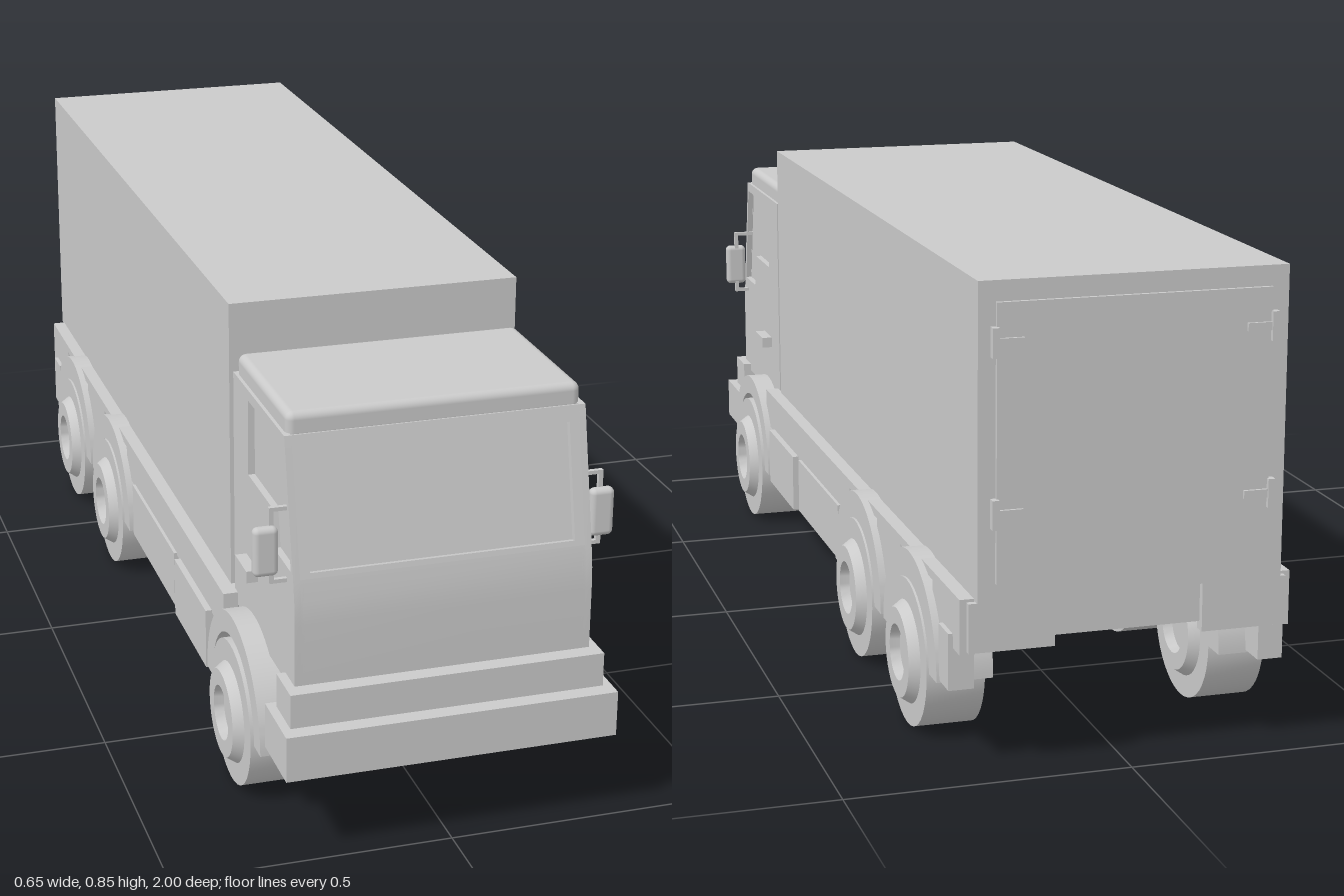
import * as THREE from 'three';
import { toCreasedNormals } from 'three/addons/utils/BufferGeometryUtils.js';
import { RoundedBoxGeometry } from 'three/addons/geometries/RoundedBoxGeometry.js';

export function createModel() {
  const truck = new THREE.Group();
  truck.name = 'boxTruck';
  const grey = new THREE.MeshStandardMaterial({ color: 0xcacaca });
  grey.name = 'bodyGrey';

  const add = (name, geometry, parent = truck) => {
    const mesh = new THREE.Mesh(geometry, grey);
    mesh.name = name;
    parent.add(mesh);
    return mesh;
  };
  // Box given by its limits on each axis
  const box = (name, x0, x1, y0, y1, z0, z1, parent) => {
    const g = new THREE.BoxGeometry(x1 - x0, y1 - y0, z1 - z0);
    g.translate((x0 + x1) / 2, (y0 + y1) / 2, (z0 + z1) / 2);
    return add(name, g, parent);
  };
  const pts = (list) => list.map(([a, b]) => new THREE.Vector2(a, b));
  // Extrude a (z, y) outline sideways between x0 and x1
  const sideways = (shape, x0, x1) => {
    const g = new THREE.ExtrudeGeometry(shape, { depth: x1 - x0, bevelEnabled: false, curveSegments: 28 });
    g.rotateY(-Math.PI / 2);
    g.translate(x1, 0, 0);
    return toCreasedNormals(g, 0.4);
  };

  // Cargo body, whose underside is the floor
  box('cargoBox', -0.267, 0.267, 0.308, 0.845, -0.985, 0.54);
  box('rearDoor', -0.237, 0.237, 0.34, 0.81, -0.992, -0.984);
  for (const s of [-1, 1]) {
    for (const y of [0.46, 0.745]) {
      box('doorHinge', s * 0.218 - 0.026, s * 0.218 + 0.026, y - 0.007, y + 0.007, -0.997, -0.984);
      box('hingePlate', s * 0.24 - 0.006, s * 0.24 + 0.006, y - 0.025, y + 0.025, -1, -0.984);
    }
  }

  // Cab: hollow shell open below, side skins with window openings, windscreen frame, roof
  const cab = new THREE.Group();
  cab.name = 'cab';
  truck.add(cab);
  const nose = [[0.94, 0.285], [0.94, 0.41], [0.938, 0.45], [0.931, 0.49]];
  const shell = new THREE.Shape(pts([
    ...nose, [0.919, 0.49], [0.866, 0.727], [0.56, 0.727], [0.56, 0.3],
    [0.572, 0.3], [0.572, 0.712], [0.857, 0.712], [0.909, 0.48], [0.925, 0.41], [0.925, 0.285],
  ]));
  add('cabShell', sideways(shell, -0.25, 0.25), cab);
  const outline = [[0.56, 0.285], ...nose, [0.878, 0.727], [0.56, 0.727]];
  const skin = new THREE.Shape(pts(outline));
  skin.holes.push(new THREE.Path(pts([
    [0.655, 0.57], [0.655, 0.708], [0.872, 0.708], [0.917, 0.5], [0.815, 0.5], [0.8, 0.57],
  ])));
  const lining = new THREE.Shape(pts([[0.56, 0.285], ...nose, [0.919, 0.49], [0.866, 0.727], [0.56, 0.727]]));

  const frame = new THREE.Shape(pts([[-0.254, 0], [0.254, 0], [0.254, 0.243], [-0.254, 0.243]]));
  frame.holes.push(new THREE.Path(pts([[-0.235, 0.01], [-0.235, 0.215], [0.235, 0.215], [0.235, 0.01]])));
  const frameGeo = new THREE.ExtrudeGeometry(frame, { depth: 0.012, bevelEnabled: false });
  frameGeo.translate(0, 0, -0.012);
  const windscreen = add('windscreenFrame', frameGeo, cab);
  windscreen.position.set(0, 0.49, 0.931);
  windscreen.rotation.x = -0.2205;

  const roof = new RoundedBoxGeometry(0.518, 0.05, 0.308, 3, 0.014);
  roof.translate(0, 0.738, 0.717);
  add('roof', roof, cab);

  // Front bumper in two steps, open at the back
  box('bumper', -0.297, 0.297, 0.155, 0.238, 0.95, 1);
  box('bumperStep', -0.281, 0.281, 0.238, 0.3, 0.925, 0.97);

  // Wheel profile (radius, sideways offset), mirrored for the inner face
  const half = [[0.132, 0.052], [0.092, 0.052], [0.08, 0.07], [0.05, 0.07], [0.047, 0.052], [0, 0.052]];
  const profile = [...half.map(([r, y]) => [r, -y]).reverse(), ...half];
  const wheelGeo = toCreasedNormals(new THREE.LatheGeometry(pts(profile), 40).rotateZ(-Math.PI / 2), 0.5);

  // Wheel arch as a half ring
  const arch = (inner) => {
    const shape = new THREE.Shape();
    shape.absarc(0, 0, 0.18, 0, Math.PI, false);
    shape.lineTo(-inner, 0);
    shape.absarc(0, 0, inner, Math.PI, 0, true);
    shape.closePath();
    return shape;
  };

  for (const s of [-1, 1]) {
    const side = new THREE.Group();
    side.name = s > 0 ? 'leftSide' : 'rightSide';
    truck.add(side);
    // Limits of a part that runs from a to b outwards on this side
    const span = (a, b) => (s > 0 ? [a, b] : [-b, -a]);
    const sideBox = (name, a, b, ...rest) => box(name, ...span(a, b), ...rest, side);

    add('cabSide', sideways(skin, ...span(0.253, 0.265)), side);
    add('cabLining', sideways(lining, ...span(0.247, 0.253)), side);

    for (const [z, inner] of [[0.688, 0.14], [-0.31, 0.129], [-0.69, 0.129]]) {
      add('wheel', wheelGeo, side).position.set(s * 0.257, 0.132, z);
      add('fender', sideways(arch(inner), ...span(0.205, 0.305)), side).position.set(0, 0.135, z);
    }

    // Bumper returns
    sideBox('bumperEnd', 0.277, 0.297, 0.155, 0.238, 0.87, 0.955);
    sideBox('bumperStepEnd', 0.26, 0.281, 0.238, 0.3, 0.885, 0.93);

    // Side rail, storage lockers and rear end
    sideBox('railFront', 0.265, 0.292, 0.235, 0.3, -0.2, 0.58);
    sideBox('railMiddle', 0.265, 0.292, 0.235, 0.3, -0.585, -0.415);
    sideBox('railMiddleLower', 0.265, 0.292, 0.205, 0.236, -0.55, -0.45);
    sideBox('railRear', 0.265, 0.292, 0.215, 0.3, -0.965, -0.8);
    sideBox('railCap', 0.25, 0.292, 0.295, 0.311, -0.965, 0.58);
    sideBox('frontLocker', 0.265, 0.304, 0.125, 0.24, 0.257, 0.495);
    sideBox('longLocker', 0.265, 0.298, 0.13, 0.24, -0.125, 0.23);
    sideBox('mudFlap', 0.255, 0.3, 0.14, 0.24, -0.925, -0.865);
    sideBox('rearLampBlock', 0.13, 0.28, 0.22, 0.306, -0.976, -0.955);

    // Door handle
    sideBox('doorHandle', 0.264, 0.286, 0.392, 0.414, 0.64, 0.715);

    // Mirror on a bent bracket
    sideBox('mirrorArmTop', 0.25, 0.296, 0.603, 0.61, 0.888, 0.896);
    sideBox('mirrorArmBottom', 0.25, 0.296, 0.473, 0.48, 0.888, 0.896);
    sideBox('mirrorPost', 0.288, 0.296, 0.473, 0.61, 0.888, 0.896);
    const mirror = new RoundedBoxGeometry(0.044, 0.088, 0.022, 3, 0.01);
    add('mirror', mirror, side).position.set(s > 0 ? 0.293 : -0.304, 0.535, 0.898);
  }
  box('rearBeam', -0.28, 0.28, 0.235, 0.31, -0.964, -0.945);

  return truck;
}
